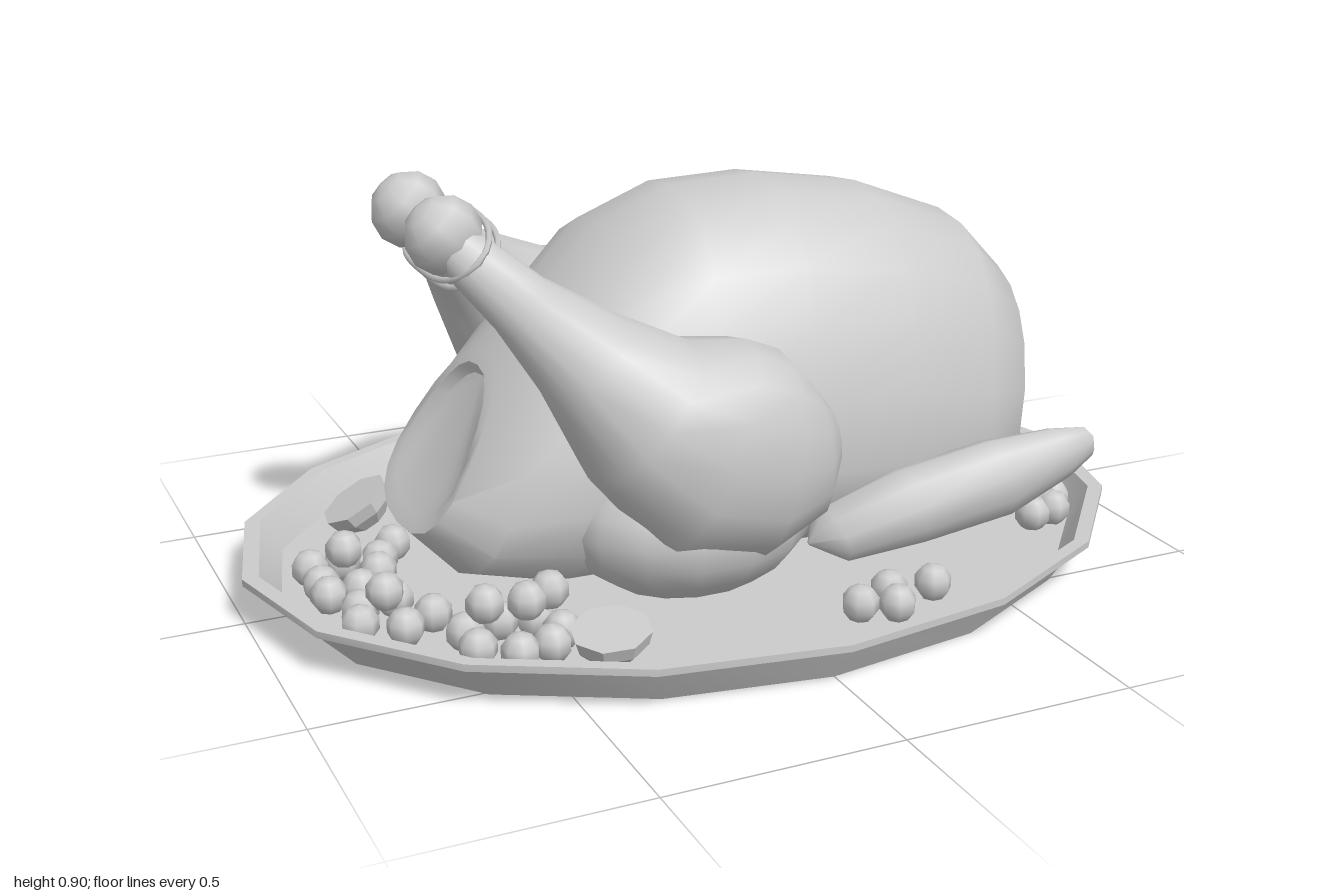
import * as THREE from 'three';
import { toCreasedNormals } from 'three/addons/utils/BufferGeometryUtils.js';

const grey = new THREE.MeshStandardMaterial({ color: 0xcccccc });
const facetedGrey = new THREE.MeshStandardMaterial({ color: 0xcccccc, flatShading: true });

function add(parent, name, geometry, material = grey) {
  const mesh = new THREE.Mesh(geometry, material);
  mesh.name = name;
  parent.add(mesh);
  return mesh;
}

// Skin over rounded rings. Each ring: top x, top y, bottom x, bottom y, half width, centre z.
// "egg" makes the lower half wider than the upper half, "power" below 1 makes it boxier.
function loft(rings, sides, egg = 0, power = 1) {
  const pos = [], index = [];
  for (const [tx, ty, bx, by, w, z = 0] of rings) {
    for (let i = 0; i < sides; i++) {
      const a = (i / sides) * Math.PI * 2, c = Math.cos(a), s = Math.sin(a);
      const cp = Math.sign(c) * Math.abs(c) ** power, sp = Math.sign(s) * Math.abs(s) ** power;
      const t = (1 - cp) / 2;
      pos.push(tx + (bx - tx) * t, ty + (by - ty) * t, z + w * sp * (1 - egg * cp));
    }
  }
  const quad = (a, b, c, d) => index.push(a, b, c, b, d, c);
  for (let r = 0; r < rings.length - 1; r++) {
    for (let i = 0; i < sides; i++) {
      const j = (i + 1) % sides, p = r * sides, q = p + sides;
      quad(p + i, p + j, q + i, q + j);
    }
  }
  // Close both ends
  const last = (rings.length - 1) * sides;
  for (let i = 1; i < sides - 1; i++) index.push(0, i + 1, i, last, last + i, last + i + 1);
  const g = new THREE.BufferGeometry();
  g.setAttribute('position', new THREE.Float32BufferAttribute(pos, 3));
  g.setIndex(index);
  g.computeVertexNormals();
  return g;
}

// Limb along a path of [x, y, z, radius in the xy plane, radius along z]
function limb(path, side, sides, power = 1) {
  const rings = path.map(([x, y, z, r, w], i) => {
    const a = path[Math.max(i - 1, 0)], b = path[Math.min(i + 1, path.length - 1)];
    const len = Math.hypot(b[0] - a[0], b[1] - a[1]);
    const nx = -(b[1] - a[1]) / len * r, ny = (b[0] - a[0]) / len * r;
    return [x + nx, y + ny, x - nx, y - ny, w, z * side];
  });
  return loft(rings, sides, 0, power);
}

export function createModel() {
  const model = new THREE.Group();
  model.name = 'roastBirdOnPlatter';

  // Sixteen-sided oval platter with a sloping wall and thin lip
  const profile = [[0, 0], [0.91, 0], [0.97, 0.085], [1, 0.085], [1, 0.1], [0.965, 0.1], [0.92, 0.03], [0, 0.03]];
  const platter = new THREE.LatheGeometry(profile.map(p => new THREE.Vector2(...p)), 16);
  platter.scale(1, 1, 0.79);
  add(model, 'platter', toCreasedNormals(platter, 0.55));

  // Body, from the flat bottom of the cavity out over its rim to the rounded neck end
  const body = loft([
    [-0.465, 0.47, -0.6, 0.235, 0.13],
    [-0.475, 0.495, -0.64, 0.2, 0.155],
    [-0.455, 0.52, -0.665, 0.17, 0.185],
    [-0.36, 0.61, -0.58, 0.08, 0.28],
    [-0.2, 0.775, -0.4, 0.04, 0.345],
    [-0.03, 0.84, -0.15, 0.04, 0.37],
    [0.18, 0.845, 0.1, 0.04, 0.375],
    [0.42, 0.805, 0.35, 0.04, 0.37],
    [0.64, 0.72, 0.55, 0.05, 0.34],
    [0.755, 0.6, 0.67, 0.11, 0.28],
    [0.785, 0.43, 0.75, 0.22, 0.19],
    [0.785, 0.34, 0.78, 0.31, 0.01],
  ], 20, 0.23, 0.8);
  add(model, 'body', toCreasedNormals(body, 0.8));

  for (const side of [1, -1]) {
    const prefix = side > 0 ? 'front' : 'back';

    // Thigh and drumstick, bowed outward
    add(model, prefix + 'Leg', limb([
      [-0.59, 0.83, 0.115, 0.04, 0.04],
      [-0.53, 0.765, 0.145, 0.058, 0.065],
      [-0.46, 0.69, 0.225, 0.07, 0.095],
      [-0.37, 0.6, 0.33, 0.11, 0.13],
      [-0.27, 0.49, 0.385, 0.17, 0.16],
      [-0.14, 0.4, 0.395, 0.232, 0.172],
      [0, 0.36, 0.39, 0.22, 0.175],
      [0.1, 0.36, 0.37, 0.16, 0.15],
      [0.16, 0.37, 0.35, 0.08, 0.09],
      [0.18, 0.37, 0.34, 0.005, 0.005],
    ], side, 16, 0.9));
    const knob = add(model, prefix + 'LegKnob', new THREE.SphereGeometry(0.083, 8, 6));
    knob.position.set(-0.575, 0.815, 0.115 * side);
    knob.rotation.z = 0.75;
    knob.scale.z = 0.85;

    // Flesh joining the thigh to the underside of the body
    const base = add(model, prefix + 'ThighBase', new THREE.SphereGeometry(1, 14, 10));
    base.scale.set(0.27, 0.17, 0.2);
    base.position.set(-0.12, 0.21, 0.3 * side);

    // Folded wing, its root running into the body
    add(model, prefix + 'Wing', limb([
      [0.13, 0.12, 0.36, 0.005, 0.005],
      [0.18, 0.14, 0.37, 0.065, 0.08],
      [0.34, 0.19, 0.41, 0.085, 0.088],
      [0.55, 0.225, 0.425, 0.088, 0.08],
      [0.7, 0.265, 0.44, 0.058, 0.055],
      [0.77, 0.28, 0.44, 0.035, 0.03],
      [0.79, 0.285, 0.435, 0.004, 0.004],
    ], side, 10));
  }

  // Double string looped around both ankles
  for (const offset of [0, 0.018]) {
    const points = [];
    for (let i = 0; i < 20; i++) {
      const a = (i / 20) * Math.PI * 2, s = 0.08 * Math.sin(a);
      const c = Math.cos(a), z = 0.205 * Math.sign(c) * Math.abs(c) ** 0.7;
      points.push(new THREE.Vector3(-0.535 + 0.7 * s + offset, 0.775 + 0.72 * s - offset, z));
    }
    const loop = new THREE.CatmullRomCurve3(points, true);
    add(model, 'legString', new THREE.TubeGeometry(loop, 32, 0.007, 5, true));
  }

  // Halved fruits: flat cut face above a shallow dome
  const half = new THREE.LatheGeometry(
    [[0, -0.075], [0.045, -0.062], [0.075, -0.03], [0.083, 0], [0, 0]].map(p => new THREE.Vector2(...p)), 8);
  for (const [x, z, tiltX, tiltZ] of [[-0.4, 0.54, 0.12, 0.1], [0.82, -0.22, 0.08, -0.1], [-0.67, -0.32, -0.2, 0.55]]) {
    const fruit = add(model, 'halvedFruit', half, facetedGrey);
    fruit.position.set(x, 0.105, z);
    fruit.rotation.set(tiltX, 0.2, tiltZ);
  }

  // Berry clusters: x, z and optional height of each berry
  const clusters = {
    backBerries: [[0.1, -0.63], [0.19, -0.65], [0.27, -0.63], [0.15, -0.57]],
    frontBerries: [[0.14, 0.57], [0.23, 0.53], [0.33, 0.54], [0.21, 0.6]],
    tailBerries: [[-0.84, -0.07], [-0.77, -0.07], [-0.69, -0.06], [-0.84, 0.02], [-0.71, 0],
      [-0.84, 0.08], [-0.77, 0.07], [-0.78, -0.01, 0.125], [-0.64, -0.13]],
    sideBerries: [[-0.72, 0.15], [-0.8, 0.17], [-0.82, 0.24], [-0.67, 0.25], [-0.74, 0.29], [-0.76, 0.22, 0.12]],
    legBerries: [[-0.64, 0.36], [-0.56, 0.34], [-0.49, 0.36], [-0.64, 0.44], [-0.46, 0.43], [-0.57, 0.49],
      [-0.5, 0.48], [-0.61, 0.4, 0.14], [-0.53, 0.42, 0.14], [-0.47, 0.39, 0.14]],
    neckBerries: [[0.86, -0.07], [0.86, 0], [0.84, 0.09], [0.84, 0.16], [0.83, 0.24], [0.73, 0.31],
      [0.79, 0.3], [0.8, -0.04, 0.11], [0.8, 0.22, 0.11], [0.77, 0.26, 0.09], [0.79, 0.06, 0.07]],
  };
  const berry = new THREE.SphereGeometry(0.041, 7, 5);
  for (const [name, berries] of Object.entries(clusters)) {
    const cluster = new THREE.Group();
    cluster.name = name;
    berries.forEach(([x, z, y = 0.068], i) => {
      const mesh = add(cluster, 'berry', berry);
      mesh.position.set(x, y, z);
      mesh.rotation.y = i;
    });
    model.add(cluster);
  }
  return model;
}
